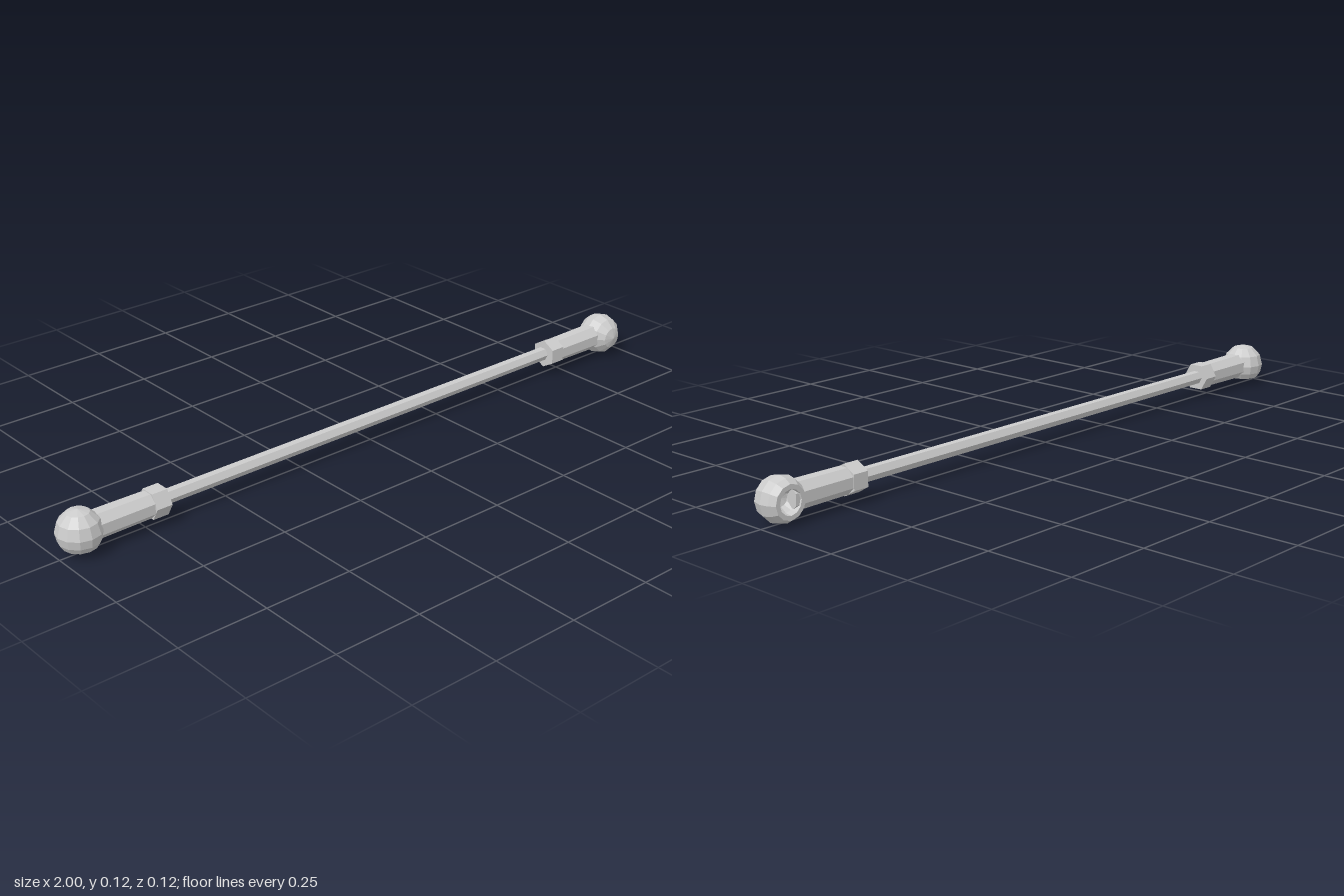
import * as THREE from 'three';

const material = new THREE.MeshStandardMaterial({ color: 0xcccccc, flatShading: true });
const AXIS_Y = 0.063;

// Prism lying along x from x0 to x1, with its own radius at each end
function prism(name, x0, x1, r0, r1, sides, turn = 0) {
  const geometry = new THREE.CylinderGeometry(r0, r1, x1 - x0, sides);
  geometry.rotateY(turn);
  geometry.rotateZ(Math.PI / 2); // top of the cylinder ends up at x0
  geometry.translate((x0 + x1) / 2, 0, 0);
  const mesh = new THREE.Mesh(geometry, material);
  mesh.name = name;
  return mesh;
}

// Faceted ball cut flat on its -z side, with a hollow socket in the cut
function socketBall() {
  const R = 0.061;
  const outer = [-90, -60, -30, 0, 23, 42].map((deg) => {
    const a = THREE.MathUtils.degToRad(deg);
    return new THREE.Vector2(Math.max(0, R * Math.cos(a)), R * Math.sin(a));
  });
  const cut = R * Math.sin(THREE.MathUtils.degToRad(42));
  const hollow = [[0.033, cut], [0.031, 0.02], [0.019, 0.003], [0, -0.002]]
    .map(([r, y]) => new THREE.Vector2(r, y));
  const geometry = new THREE.LatheGeometry([...outer, ...hollow], 12);
  geometry.rotateX(-Math.PI / 2);
  const mesh = new THREE.Mesh(geometry, material);
  mesh.name = 'socketBall';
  mesh.position.x = 0.939;
  return mesh;
}

// Lock nut, shank and ball of one end, built towards +x
function rodEnd(name) {
  const end = new THREE.Group();
  end.name = name;
  end.add(
    prism('lockNut', 0.692, 0.738, 0.042, 0.042, 6, Math.PI / 6),
    prism('shank', 0.736, 0.92, 0.037, 0.039, 8, Math.PI / 8),
    socketBall()
  );
  return end;
}

export function createModel() {
  const model = new THREE.Group();
  model.name = 'linkRod';

  const rod = prism('rod', -0.7, 0.7, 0.02, 0.02, 6);
  rod.position.set(0, AXIS_Y, -0.003);

  // Socket of the left end opens to the back, that of the right end downwards
  const left = rodEnd('leftEnd');
  left.position.y = AXIS_Y;
  const right = rodEnd('rightEnd');
  right.position.y = AXIS_Y;
  right.rotation.set(Math.PI / 2, Math.PI, 0);

  model.add(rod, left, right);
  return model;
}
